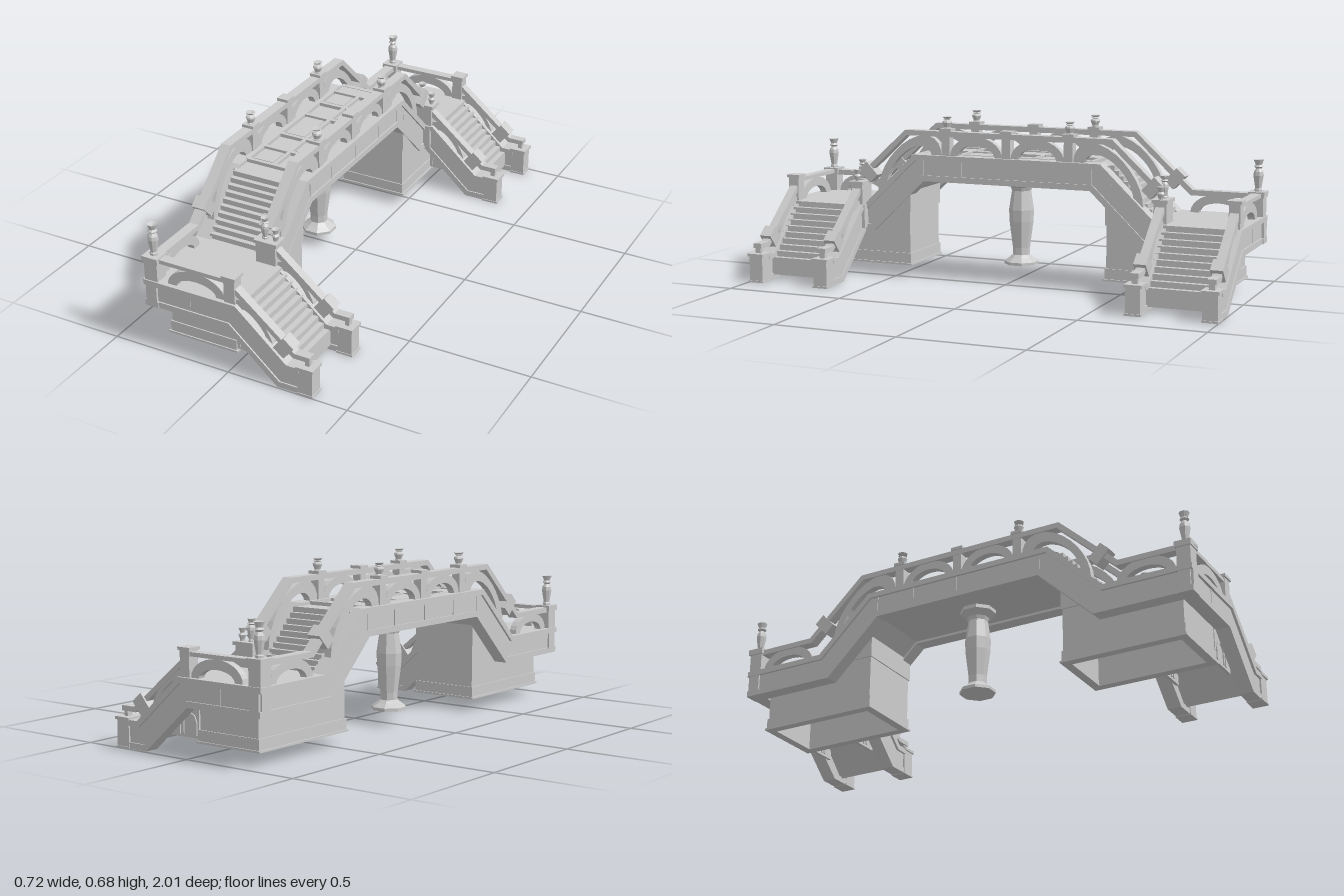
import * as THREE from 'three';

const mat = new THREE.MeshStandardMaterial({ color: 0xcccccc, flatShading: true, side: THREE.DoubleSide });

export function createModel() {
  const root = new THREE.Group();
  root.name = 'footbridge';

  const add = (name, geo, x = 0, y = 0, z = 0) => {
    const m = new THREE.Mesh(geo, mat);
    m.name = name;
    m.position.set(x, y, z);
    root.add(m);
    return m;
  };
  // Box given by its limits on each axis
  const box = (name, x0, x1, y0, y1, z0, z1) => add(name,
    new THREE.BoxGeometry(x1 - x0, y1 - y0, Math.abs(z1 - z0)), (x0 + x1) / 2, (y0 + y1) / 2, (z0 + z1) / 2);
  // Upright outline along 'x' or 'z', extruded sideways about position w
  const plate = (name, axis, pts, w, width, hole) => {
    const shape = new THREE.Shape(pts.map(p => new THREE.Vector2(...p)));
    if (hole) shape.holes.push(new THREE.Path(hole.map(p => new THREE.Vector2(...p))));
    const geo = new THREE.ExtrudeGeometry(shape, { depth: width, bevelEnabled: false });
    geo.translate(0, 0, -width / 2);
    if (axis === 'z') geo.rotateY(-Math.PI / 2);
    return axis === 'z' ? add(name, geo, w, 0, 0) : add(name, geo, 0, 0, w);
  };
  // Moves a left-to-right line down by d, mitred at its bends
  const offset = (pts, d) => pts.map((p, i) => {
    const a = pts[Math.max(i - 1, 0)], b = pts[Math.min(i + 1, pts.length - 1)];
    const t0 = i ? Math.atan2(p[1] - a[1], p[0] - a[0]) : Math.atan2(b[1] - p[1], b[0] - p[0]);
    const t1 = i < pts.length - 1 ? Math.atan2(b[1] - p[1], b[0] - p[0]) : t0;
    const t = (t0 + t1) / 2, k = d / Math.cos((t1 - t0) / 2);
    return [p[0] + Math.sin(t) * k, p[1] - Math.cos(t) * k];
  });
  const band = (name, axis, path, d0, d1, w, width) =>
    plate(name, axis, [...offset(path, d0), ...offset(path, d1).reverse()], w, width);
  // Stringer: projecting ledge, recessed fascia, bottom moulding
  const stringer = (name, axis, path, w) => {
    band(name + 'Ledge', axis, path, 0, 0.022, w, 0.066);
    band(name + 'Fascia', axis, path, 0.022, 0.086, w, 0.046);
    band(name + 'Moulding', axis, path, 0.086, 0.11, w, 0.058);
  };
  // Railing arch standing on a level or sloping base line
  const arch = (name, axis, u0, y0, u1, y1, h, t, w) => {
    const curve = (inset, hh) => Array.from({ length: 15 }, (_, i) => {
      const a = Math.PI * i / 14, c = (1 - Math.cos(a)) / 2;
      const f = inset + c * (1 - 2 * inset);
      return [u0 + (u1 - u0) * f, y0 + (y1 - y0) * f + hh * Math.sin(a)];
    });
    const inset = t / Math.abs(u1 - u0);
    plate(name, axis, [...curve(0, h), ...curve(inset, h - t).reverse()], w, 0.03);
  };
  const post = (name, x, z, y0, y1, s) => {
    box(name, x - s / 2, x + s / 2, y0, y1 - 0.012, z - s / 2, z + s / 2);
    const c = s / 2 + 0.006;
    box(name + 'Cap', x - c, x + c, y1 - 0.012, y1, z - c, z + c);
  };
  const lathe = (name, pts, sides, x, y, z) =>
    add(name, new THREE.LatheGeometry(pts.map(p => new THREE.Vector2(...p)), sides, Math.PI / 8), x, y, z);
  const finial = (x, y, z, h, r) => lathe('finial', [[0, 0], [0.75, 0], [0.75, 0.06], [0.6, 0.1], [1, 0.5],
    [0.9, 0.62], [0.5, 0.72], [0.9, 0.78], [0.6, 0.84], [1, 1], [0, 0.93]].map(([a, b]) => [a * r, b * h]), 8, x, y, z);
  const urn = (x, y, z, h, r) => lathe('urn', [[0, 0], [0.6, 0], [0.6, 0.12], [1, 0.45], [0.55, 0.62],
    [1, 1], [0, 0.9]].map(([a, b]) => [a * r, b * h]), 8, x, y, z);

  const L = -0.325, R = -0.025; // railing lines of the main span
  const mirrored = half => [...half.map(([z, y]) => [-z, y]), ...half.slice().reverse()];

  // Main span: slab, stringers and handrails
  const deckPath = [[0.64, 0.3], [0.41, 0.52]];
  band('deckSlab', 'z', mirrored([[0.69, 0.3], ...deckPath]), 0.035, 0.1, -0.175, 0.29);
  box('deckFloor', -0.31, -0.04, 0.48, 0.508, -0.43, 0.43);
  stringer('outerStringer', 'z', mirrored([[1, 0.3], ...deckPath]), L);
  stringer('innerStringer', 'z', mirrored([[0.695, 0.3], ...deckPath]), R);
  band('outerHandrail', 'z', mirrored([[0.965, 0.392], [0.70, 0.392], [0.455, 0.62]]), 0, 0.022, L, 0.042);
  band('innerHandrail', 'z', mirrored([[0.67, 0.42], [0.455, 0.62]]), 0, 0.022, R, 0.042);
  for (const x of [L, R]) {
    post('middlePost', x, 0, 0.515, 0.632, 0.038);
    for (const z of [-0.2, 0, 0.2, -0.37, 0.37])
      box('fasciaJoint', x - 0.026, x + 0.026, 0.432, 0.5, z - 0.003, z + 0.003);
  }

  // Deck paving: two rows of five framed panels
  const cuts = [-0.35, -0.225, -0.1, 0.1, 0.225, 0.35];
  for (const z of cuts) box('pavingCrossBar', -0.297, -0.053, 0.5, 0.522, z - 0.008, z + 0.008);
  for (const x of [-0.294, -0.175, -0.056]) box('pavingBar', x - 0.007, x + 0.007, 0.5, 0.522, -0.35, 0.35);
  for (let i = 0; i < 5; i++) for (const j of [0, 1]) {
    const x = -0.234 + j * 0.118, y = (i + j) % 2 ? 0.512 : 0.518;
    box('pavingPanel', x - 0.043, x + 0.043, 0.5, y, cuts[i] + 0.018, cuts[i + 1] - 0.018);
  }

  // Central column
  lathe('centralColumn', [[0, 0.06], [0.072, 0.06], [0.072, 0.072], [0.05, 0.088], [0.036, 0.1], [0.036, 0.13],
    [0.05, 0.24], [0.052, 0.29], [0.04, 0.37], [0.046, 0.385], [0.072, 0.405], [0.072, 0.425], [0, 0.425]],
    8, -0.175, 0, 0);

  // Solid stair with n steps from (u0, y0) down to (u1, y1)
  const stair = (name, axis, u0, y0, u1, y1, n, w, width) => {
    const pts = [[u0, y0]], du = (u1 - u0) / n, dy = (y1 - y0) / n;
    for (let i = 0; i < n; i++) pts.push([u0 + du * (i + 1), y0 + dy * i], [u0 + du * (i + 1), y0 + dy * (i + 1)]);
    plate(name, axis, [...pts, [u1, y1 - 0.05], [u0, y0 - 0.05]], w, width);
  };
  const ring = (name, x0, x1, z0, z1, y0, y1, t) => {
    box(name, x0, x0 + t, y0, y1, z0, z1);
    box(name, x1 - t, x1, y0, y1, z0, z1);
    box(name, x0, x1, y0, y1, z0, z0 + t);
    box(name, x0, x1, y0, y1, z1 - t, z1);
  };

  for (const s of [-1, 1]) {
    // Span arches and posts
    for (const x of [L, R]) {
      arch('deckArch', 'z', s * 0.018, 0.515, s * 0.252, 0.515, 0.088, 0.034, x);
      arch('slopeArch', 'z', s * 0.29, 0.515, s * 0.585, 0.355, 0.145, 0.04, x);
      post('spanPost', x, s * 0.27, 0.515, 0.632, 0.038);
      finial(x, 0.632, s * 0.27, 0.048, 0.02);
      const block = add('railBlock', new THREE.BoxGeometry(0.056, 0.075, 0.05), x, 0.435, s * 0.625);
      block.rotation.x = s * 0.76;
    }
    stair('mainSteps', 'z', s * 0.43, 0.51, s * 0.63, 0.3, 10, -0.175, 0.25);

    // Landing with railings
    box('landing', -0.31, 0.03, 0.2, 0.3, s * 0.63, s * 0.95);
    arch('landingSideArch', 'z', s * 0.69, 0.3, s * 0.93, 0.3, 0.078, 0.036, L);
    arch('landingEndArch', 'x', -0.26, 0.3, -0.012, 0.3, 0.078, 0.038, s * 0.967);
    box('landingEndRail', -0.3, 0.0, 0.378, 0.394, s * 0.947, s * 0.987);
    post('cornerPost', L, s * 0.967, 0.3, 0.4, 0.056);
    box('cornerPostHead', L - 0.034, L + 0.034, 0.376, 0.394, s * 0.967 - 0.033, s * 0.967 + 0.033);
    finial(L, 0.4, s * 0.967, 0.128, 0.021);
    post('landingPost', 0.012, s * 0.967, 0.29, 0.41, 0.046);
    box('innerPost', -0.055, 0.03, 0.29, 0.382, s * 0.667 - 0.027, s * 0.667 + 0.027);
    box('innerPostCap', -0.061, 0.038, 0.382, 0.396, s * 0.667 - 0.033, s * 0.667 + 0.033);
    finial(-0.027, 0.396, s * 0.667, 0.088, 0.017);
    urn(0.018, 0.396, s * 0.667, 0.05, 0.016);
    box('fasciaJoint', -0.163, -0.157, 0.215, 0.278, s * 0.94, s * 0.992);

    // Side stair
    stair('sideSteps', 'x', 0.03, 0.3, 0.262, 0.07, 10, s * 0.817, 0.26);
    const slope = [[0.04, 0.3], [0.25, 0.112], [0.3, 0.112]];
    stringer('sideStringer', 'x', [[-0.355, 0.3], ...slope], s * 0.967);
    stringer('sideStringer', 'x', [[-0.055, 0.3], ...slope], s * 0.667);
    for (const z of [s * 0.667, s * 0.967]) {
      band('stairHandrail', 'x', [[0.02, 0.375], [0.277, 0.161], [0.34, 0.161]], 0, 0.02, z, 0.036);
      arch('stairArch', 'x', 0.03, 0.3, 0.185, 0.165, 0.055, 0.028, z);
      const block = add('railBlock', new THREE.BoxGeometry(0.055, 0.068, 0.05), 0.235, 0.175, z);
      block.rotation.z = -0.7;
      box('handrailFoot', 0.317, 0.335, 0.115, 0.145, z - 0.012, z + 0.012);
      post('newelPost', 0.325, z, 0, 0.12, 0.06);
      box('newelBase', 0.291, 0.359, 0, 0.008, z - 0.033, z + 0.033);
    }

    // Hollow pier below the landing
    const z0 = s > 0 ? 0.435 : -0.93, z1 = s > 0 ? 0.93 : -0.435;
    ring('pierWall', -0.286, -0.006, z0, z1, 0.1, 0.28, 0.02);
    ring('pierPlinth', -0.291, -0.001, z0 - 0.005, z1 + 0.005, 0.055, 0.1, 0.025);
    ring('pierFoot', -0.297, 0.005, z0 - 0.01, z1 + 0.01, 0.05, 0.058, 0.035);
    plate('pierHead', 'z', [[0.43, 0.275], [0.43, 0.44], [0.465, 0.44], [0.63, 0.275]].map(([z, y]) => [s * z, y]),
      -0.146, 0.29);

    // Walls below the side stair with arched panel trim
    for (const z of [0.71, 0.925]) {
      plate('underStairWall', 'x', [[0, 0.065], [0.145, 0.065], [0.145, 0.1], [0, 0.23]], s * z, 0.012);
      const trim = (r, top) => [[0.044 - r, 0.075], [0.044 - r, top],
        [0.044 - r * 0.7, top + r * 0.7], [0.044, top + r], [0.044 + r * 0.7, top + r * 0.7],
        [0.044 + r, top], [0.044 + r, 0.075]];
      plate('archedTrim', 'x', [...trim(0.036, 0.125), ...trim(0.028, 0.125).reverse()], s * z, 0.022);
      box('panelTrim', 0.09, 0.1, 0.075, 0.12, s * z - 0.011, s * z + 0.011);
    }
  }
  return root;
}
